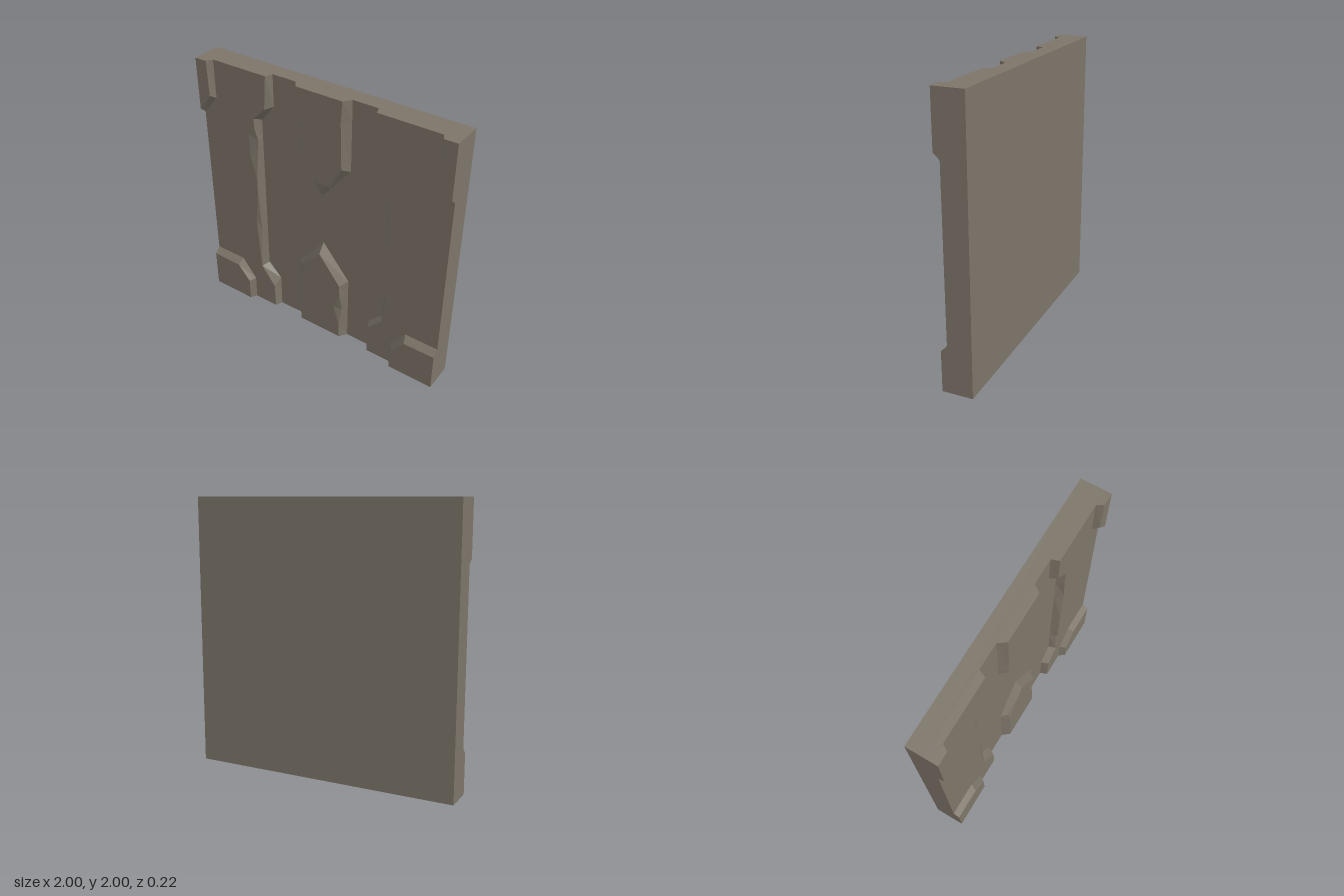
import * as THREE from 'three';

const CHIP = 0.018; // how far a chipped rim sinks below the plate face

// Bevelled plate. Each corner is [baseX, baseY, rimX, rimY, capX?, capY?];
// the optional cap point pulls the face back, leaving a chipped facet.
function bevelPlate(name, corners, z0, z1, material) {
  const area = corners.reduce((sum, a, i) => {
    const b = corners[(i + 1) % corners.length];
    return sum + a[0] * b[1] - b[0] * a[1];
  }, 0);
  const loop = area < 0 ? [...corners].reverse() : corners;
  const base = loop.map((c) => [c[0], c[1], z0]);
  const rim = loop.map((c) => [c[2], c[3], c.length > 4 ? z1 - CHIP : z1]);
  const cap = loop.map((c) => (c.length > 4 ? [c[4], c[5], z1] : [c[2], c[3], z1]));
  const positions = [];
  const same = (a, b) => a.every((v, i) => v === b[i]);
  const tri = (a, b, c) => {
    if (!same(a, b) && !same(b, c) && !same(a, c)) positions.push(...a, ...b, ...c);
  };
  // Sloping walls, then chipped facets
  for (const [low, high] of [[base, rim], [rim, cap]]) {
    for (let i = 0; i < loop.length; i++) {
      const j = (i + 1) % loop.length;
      tri(low[i], low[j], high[j]);
      tri(low[i], high[j], high[i]);
    }
  }
  // Flat face
  const outline = cap.map((p) => new THREE.Vector2(p[0], p[1]));
  for (const [a, b, c] of THREE.ShapeUtils.triangulateShape(outline, [])) tri(cap[a], cap[b], cap[c]);
  const geometry = new THREE.BufferGeometry();
  geometry.setAttribute('position', new THREE.Float32BufferAttribute(positions, 3));
  geometry.computeVertexNormals();
  const mesh = new THREE.Mesh(geometry, material);
  mesh.name = name;
  return mesh;
}

export function createModel() {
  const model = new THREE.Group();
  model.name = 'wallPanel';
  const stone = new THREE.MeshStandardMaterial({ color: 0x7d7569 });
  stone.name = 'stone';

  const BACK = -0.11, FLOOR = 0.01, FACE = 0.065, FRONT = 0.11;

  // Backing slab, whose front is the floor of the channels
  const slab = new THREE.Mesh(new THREE.BoxGeometry(2, 2, FLOOR - BACK), stone);
  slab.position.set(0, 1, (FLOOR + BACK) / 2);
  slab.name = 'backSlab';
  model.add(slab);

  const plate = (name, corners, z0, z1) => model.add(bevelPlate(name, corners, z0, z1, stone));

  // Side panels with worn inner edges
  plate('rightSidePanel', [
    [-1, 2, -1, 2], [-1, 0, -1, 0],
    [-0.41, 0, -0.43, 0], [-0.41, 0.26, -0.435, 0.2], [-0.52, 0.37, -0.55, 0.35],
    [-0.52, 0.78, -0.545, 0.7, -0.58, 0.78],
    [-0.52, 1.05, -0.55, 1.05], [-0.52, 1.15, -0.55, 1.15],
    [-0.52, 1.38, -0.54, 1.4, -0.6, 1.34], [-0.52, 1.48, -0.535, 1.48, -0.6, 1.51],
    [-0.52, 1.58, -0.55, 1.58], [-0.52, 1.63, -0.55, 1.65],
    [-0.41, 1.76, -0.45, 1.75], [-0.41, 2, -0.43, 2],
  ], FLOOR, FACE);
  plate('leftSidePanel', [
    [1, 0, 1, 0], [1, 2, 1, 2],
    [0.41, 2, 0.43, 2], [0.41, 1.75, 0.43, 1.77], [0.52, 1.63, 0.545, 1.65],
    [0.52, 1.5, 0.545, 1.5], [0.52, 1.3, 0.56, 1.3], [0.52, 0.95, 0.545, 0.95],
    [0.52, 0.67, 0.545, 0.67], [0.52, 0.56, 0.545, 0.57, 0.57, 0.55],
    [0.52, 0.36, 0.545, 0.35], [0.41, 0.25, 0.435, 0.24], [0.41, 0, 0.43, 0],
  ], FLOOR, FACE);

  // Pointed centre blocks
  plate('upperCentreBlock', [
    [-0.22, 2, -0.18, 2], [-0.22, 1.6, -0.175, 1.6], [-0.22, 1.475, -0.18, 1.495],
    [-0.05, 1.27, -0.04, 1.33], [0, 1.21, 0, 1.24, 0, 1.33], [0.05, 1.27, 0.07, 1.34],
    [0.22, 1.475, 0.18, 1.5], [0.22, 1.85, 0.17, 1.85], [0.22, 2, 0.18, 2],
  ], FLOOR, FACE);
  plate('lowerCentreBlock', [
    [-0.22, 0, -0.175, 0], [-0.22, 0.2, -0.17, 0.2],
    [-0.22, 0.42, -0.185, 0.42, -0.17, 0.41], [-0.22, 0.53, -0.18, 0.52, -0.13, 0.51],
    [-0.09, 0.685, -0.08, 0.63], [0, 0.795, 0, 0.72],
    [0.22, 0.53, 0.175, 0.5], [0.22, 0.4, 0.18, 0.4],
    [0.22, 0.28, 0.19, 0.27, 0.13, 0.28], [0.22, 0.12, 0.175, 0.12], [0.22, 0, 0.18, 0],
  ], FLOOR, FACE);

  // Raised corner plates on both sides
  for (const [side, s] of [['left', 1], ['right', -1]]) {
    const mirror = (points) => points.map(([bx, by, tx, ty]) => [s * bx, by, s * tx, ty]);
    plate(side + 'LowerCorner', mirror([
      [1, 0, 1, 0], [1, 0.34, 1, 0.295], [0.745, 0.34, 0.76, 0.293],
      [0.625, 0.19, 0.655, 0.173], [0.625, 0, 0.655, 0],
    ]), FACE, FRONT);
    plate(side + 'UpperCorner', mirror([
      [1, 2, 1, 2], [0.88, 2, 0.905, 2], [0.88, 1.71, 0.9, 1.74], [1, 1.57, 1, 1.61],
    ]), FACE, FRONT);
  }
  return model;
}
